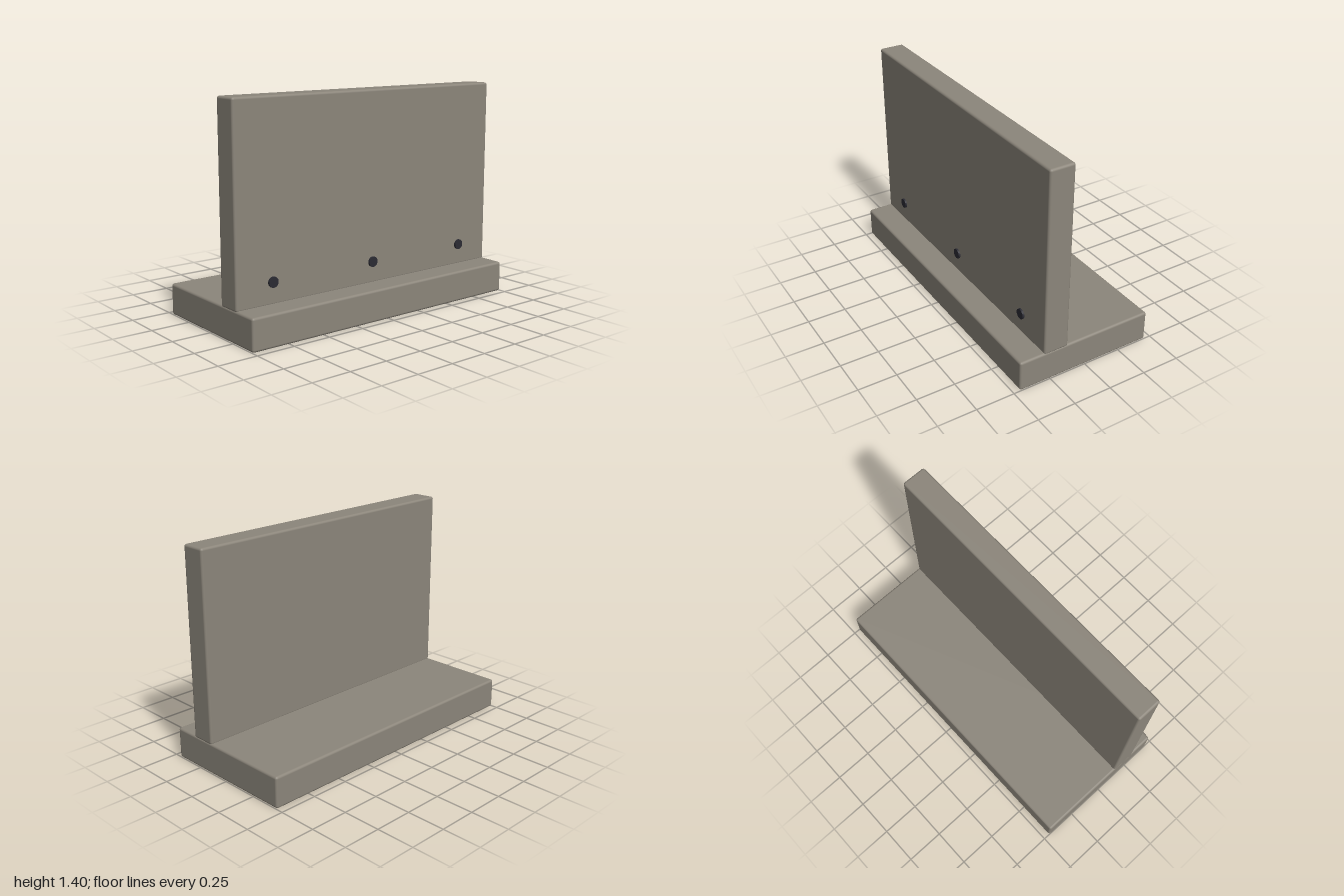
import * as THREE from 'three';
import { RoundedBoxGeometry } from 'three/addons/geometries/RoundedBoxGeometry.js';

export function createModel() {
  const group = new THREE.Group();
  group.name = 'retainingWall';

  const concrete = new THREE.MeshStandardMaterial({ name: 'concrete', color: 0x8c867b });
  const darkPipe = new THREE.MeshStandardMaterial({ name: 'dark pipe', color: 0x2b2b33 });

  // Softly rounded concrete slab between two heights and two depths
  const slab = (name, y0, y1, z0, z1) => {
    const geometry = new RoundedBoxGeometry(2, y1 - y0, z1 - z0, 3, 0.015);
    const mesh = new THREE.Mesh(geometry, concrete);
    mesh.name = name;
    mesh.position.set(0, (y0 + y1) / 2, (z0 + z1) / 2);
    group.add(mesh);
  };
  slab('footing', 0, 0.2, -0.458, 0.458);
  slab('wallStem', 0.19, 1.4, 0.129, 0.293);

  // Drain outlets poking slightly out of the front face
  const outlet = new THREE.CylinderGeometry(0.033, 0.033, 0.1, 20).rotateX(Math.PI / 2);
  for (const x of [-0.75, 0, 0.75]) {
    const mesh = new THREE.Mesh(outlet, darkPipe);
    mesh.name = 'drainOutlet';
    mesh.position.set(x, 0.33, 0.255);
    group.add(mesh);
  }
  return group;
}
